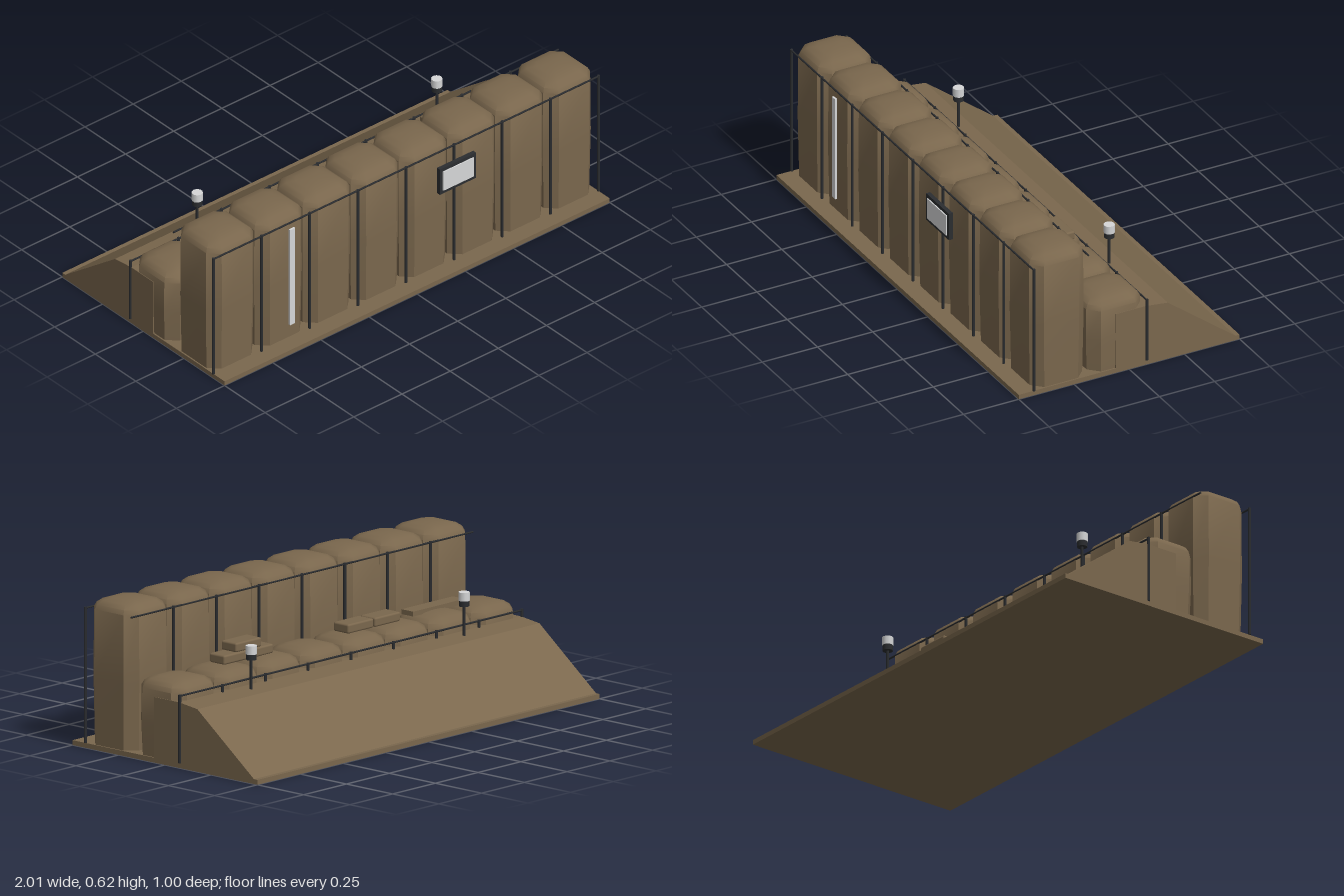
import * as THREE from 'three';
import { toCreasedNormals } from 'three/addons/utils/BufferGeometryUtils.js';
import { RoundedBoxGeometry } from 'three/addons/geometries/RoundedBoxGeometry.js';

function material(name, color) {
  const m = new THREE.MeshStandardMaterial({ color });
  m.name = name;
  return m;
}

// Earth-filled cell: eight-sided body, slightly bulged, with a domed top
function bagGeometry(bottom, top) {
  const shoulder = top - 0.047;
  const rings = [
    [0.119, bottom], [0.124, (bottom + shoulder) / 2], [0.122, shoulder],
    [0.113, shoulder + 0.018], [0.092, shoulder + 0.034], [0.06, top - 0.004], [0.03, top - 0.001], [0, top],
  ];
  const corner = 0.64;
  const outline = [
    [1, -corner], [1, corner], [corner, 1], [-corner, 1],
    [-1, corner], [-1, -corner], [-corner, -1], [corner, -1],
  ];
  const positions = [], index = [], n = outline.length;
  rings.forEach(([half, y], r) => {
    for (const [x, z] of outline) positions.push(x * half, y, z * half);
    if (r === 0) return;
    for (let i = 0; i < n; i++) {
      const a = (r - 1) * n + i, b = (r - 1) * n + (i + 1) % n;
      index.push(a, a + n, b);
      if (r < rings.length - 1) index.push(b, a + n, b + n);
    }
  });
  const g = new THREE.BufferGeometry();
  g.setAttribute('position', new THREE.Float32BufferAttribute(positions, 3));
  g.setIndex(index);
  return toCreasedNormals(g, 0.72);
}

export function createModel() {
  const model = new THREE.Group();
  model.name = 'fieldBarrier';
  const earth = material('earth brown', 0x7a674d);
  const dark = material('dark metal', 0x2b2d30);
  const light = material('light grey', 0xd6d7d8);

  function add(name, geometry, mat, x = 0, y = 0, z = 0, parent = model) {
    const mesh = new THREE.Mesh(geometry, mat);
    mesh.name = name;
    mesh.position.set(x, y, z);
    parent.add(mesh);
    return mesh;
  }
  // Box given by its limits on each axis
  function box(name, mat, x0, x1, y0, y1, z0, z1) {
    return add(name, new THREE.BoxGeometry(x1 - x0, y1 - y0, z1 - z0), mat,
      (x0 + x1) / 2, (y0 + y1) / 2, (z0 + z1) / 2);
  }

  // Ground slab
  box('base', earth, -1, 1, 0, 0.02, -0.5, 0.5);

  // Sloped earth bank, drawn in (-z, y) and extruded along x
  const bank = new THREE.Shape([
    [-0.06, 0.015], [0.488, 0.015], [0.175, 0.256], [0.075, 0.268], [-0.06, 0.268],
  ].map(([a, b]) => new THREE.Vector2(a, b)));
  const bankGeometry = new THREE.ExtrudeGeometry(bank, { depth: 2, bevelEnabled: false });
  bankGeometry.rotateY(Math.PI / 2).translate(-1, 0, 0);
  add('earthBank', bankGeometry, earth);

  // Two rows of cells
  const tall = bagGeometry(0.018, 0.62), low = bagGeometry(0.018, 0.343);
  for (let i = 0; i < 8; i++) {
    const x = -0.875 + i * 0.25;
    add('tallCell', tall, earth, x, 0, 0.305);
    add('lowCell', low, earth, x, 0, 0.047);
  }

  // Wire frame: uprights at the seams and a rail along the top
  function fence(name, z, top, ends) {
    const group = new THREE.Group();
    group.name = name;
    model.add(group);
    const post = new THREE.CylinderGeometry(0.006, 0.006, top - 0.02, 8);
    for (let i = 0; i <= 8; i++) {
      if (!ends && i % 8 === 0) continue;
      add('wirePost', post, dark, -1 + i * 0.25, (top + 0.02) / 2, z, group);
    }
    const rail = new THREE.CylinderGeometry(0.004, 0.004, 2, 6).rotateZ(Math.PI / 2);
    add('wireRail', rail, dark, 0, top - 0.005, z, group);
  }
  fence('frontFence', 0.431, 0.576, true);
  fence('middleFence', 0.184, 0.576, false);
  fence('backFence', -0.08, 0.299, true);

  // Height strip and framed sign on the front
  box('markerStrip', light, -0.622, -0.596, 0.1, 0.557, 0.447, 0.456);
  box('signFrame', dark, 0.155, 0.343, 0.385, 0.506, 0.438, 0.456);
  box('signPanel', light, 0.17, 0.329, 0.401, 0.491, 0.455, 0.461);

  // Small sandbags and a plank on the low row
  const sandbag = new RoundedBoxGeometry(0.15, 0.038, 0.082, 2, 0.008);
  for (const [x, y] of [[-0.315, 0.361], [-0.158, 0.361], [0.428, 0.361], [0.567, 0.361], [0.498, 0.4]])
    add('sandbag', sandbag, earth, x, y, 0.051);
  box('plank', earth, -0.8, -0.5, 0.335, 0.355, 0.045, 0.108);

  // Lamps on poles behind the low row
  for (const x of [-0.622, 0.622]) {
    const lamp = new THREE.Group();
    lamp.name = 'lamp';
    lamp.position.set(x, 0, -0.117);
    model.add(lamp);
    add('lampPole', new THREE.CylinderGeometry(0.006, 0.006, 0.14, 8), dark, 0, 0.325, 0, lamp);
    add('lampCollar', new THREE.CylinderGeometry(0.021, 0.021, 0.024, 10), dark, 0, 0.395, 0, lamp);
    add('lampHead', new THREE.CylinderGeometry(0.023, 0.023, 0.035, 10), light, 0, 0.4235, 0, lamp);
  }
  return model;
}
